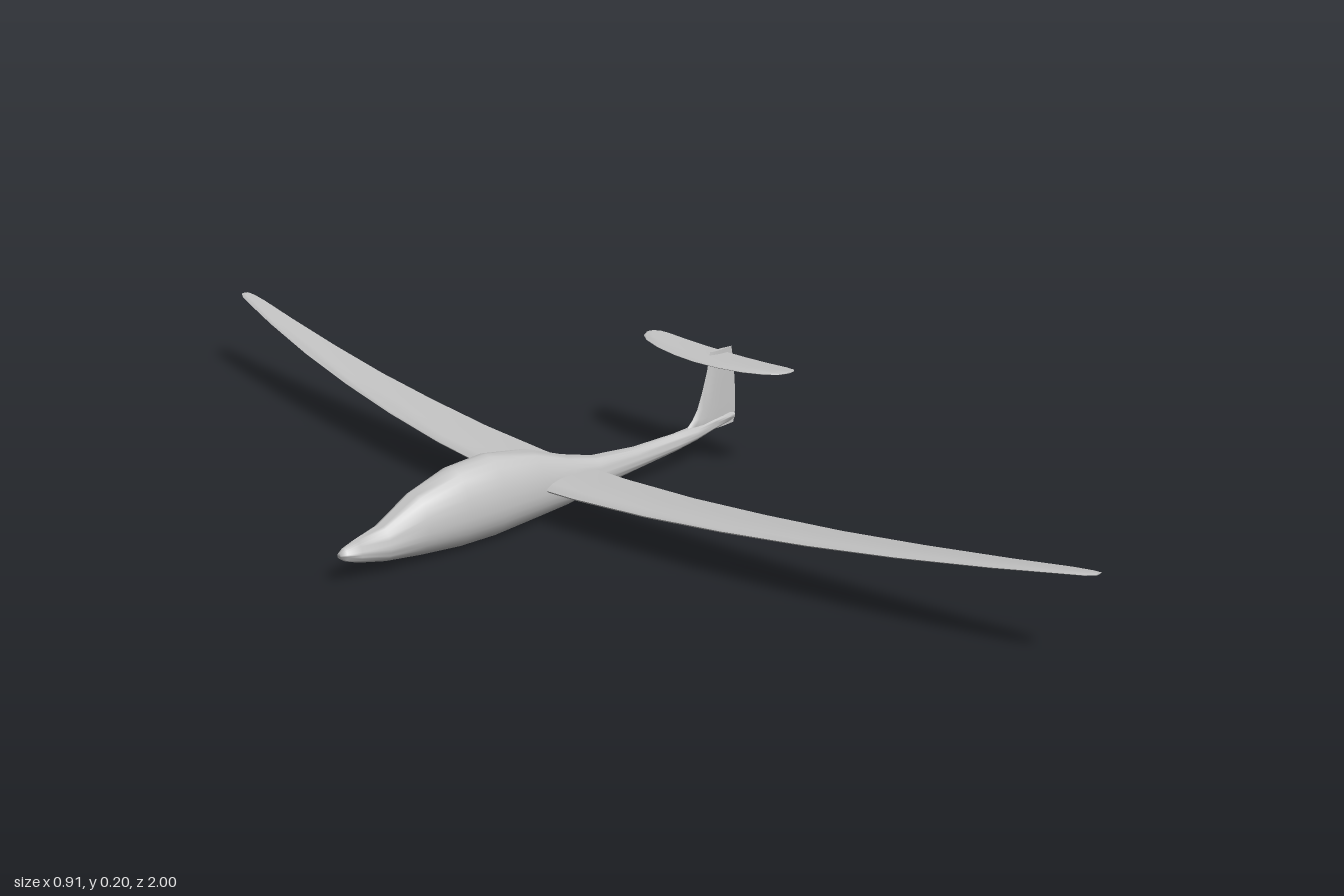
import * as THREE from 'three';
import { toCreasedNormals } from 'three/addons/utils/BufferGeometryUtils.js';

// Skin a list of rings (equal point counts) and cap both ends.
function loft(rings, crease) {
  const n = rings[0].length, m = rings.length, index = [];
  const points = rings.flat();
  for (let i = 0; i < m - 1; i++) {
    for (let j = 0; j < n; j++) {
      const k = (j + 1) % n, a = i * n + j, b = i * n + k;
      index.push(a, b, a + n, b, b + n, a + n);
    }
  }
  [0, m - 1].forEach((r) => {
    const centre = new THREE.Vector3();
    rings[r].forEach((p) => centre.addScaledVector(p, 1 / n));
    points.push(centre);
    for (let j = 0; j < n; j++) {
      const a = r * n + j, b = r * n + (j + 1) % n;
      index.push(points.length - 1, ...(r ? [a, b] : [b, a]));
    }
  });
  // Turn the faces outward if the signed volume is negative.
  let volume = 0;
  for (let i = 0; i < index.length; i += 3) {
    const [a, b, c] = [0, 1, 2].map((k) => points[index[i + k]]);
    volume += a.dot(b.clone().cross(c));
  }
  if (volume < 0) index.reverse();
  const geometry = new THREE.BufferGeometry().setFromPoints(points);
  geometry.setIndex(index);
  return toCreasedNormals(geometry, crease);
}

// Airfoil outline between leading and trailing edge; place(x, offset) positions each point.
const CHORD = [0, 0.03, 0.12, 0.3, 0.55, 0.8, 1];
const THICK = [0, 0.4, 0.78, 1, 0.8, 0.38, 0.04];
function airfoil(lead, trail, thickness, place) {
  const upper = CHORD.map((c, i) => place(lead + c * (trail - lead), THICK[i] * thickness / 2));
  const lower = CHORD.map((c, i) => place(lead + c * (trail - lead), -THICK[i] * thickness / 2));
  return [...upper, ...lower.slice(1).reverse()];
}

// Mirrored horizontal surface from half-span stations [z, lead, trail, y, thickness].
function horizontalSurface(stations) {
  const mirrored = stations.slice(1).reverse().map(([z, ...rest]) => [-z, ...rest]);
  return loft([...mirrored, ...stations].map(([z, lead, trail, y, t]) =>
    airfoil(lead, trail, t, (x, o) => new THREE.Vector3(x, y + o, z))), 0.9);
}

export function createModel() {
  const glider = new THREE.Group();
  glider.name = 'glider';
  const paint = new THREE.MeshStandardMaterial({ color: 0xc4c4c4 });
  paint.name = 'light grey';
  const add = (name, geometry) => {
    const mesh = new THREE.Mesh(geometry, paint);
    mesh.name = name;
    glider.add(mesh);
  };

  // Fuselage stations: x, bottom, top, half width
  const body = [
    [-0.455, 0.045, 0.054, 0.004], [-0.445, 0.038, 0.06, 0.009], [-0.42, 0.029, 0.067, 0.015],
    [-0.37, 0.018, 0.078, 0.026], [-0.3, 0.009, 0.115, 0.038], [-0.22, 0.002, 0.138, 0.048],
    [-0.145, 0.001, 0.142, 0.051], [-0.05, 0.006, 0.127, 0.044], [0.03, 0.01, 0.098, 0.033],
    [0.1, 0.02, 0.079, 0.024], [0.2, 0.029, 0.07, 0.016], [0.3, 0.038, 0.07, 0.012],
    [0.35, 0.045, 0.073, 0.011], [0.4, 0.055, 0.077, 0.008], [0.44, 0.06, 0.078, 0.004],
    [0.454, 0.063, 0.074, 0.002],
  ];
  const sides = 28;
  add('fuselage', loft(body.map(([x, low, high, w]) => {
    const mid = low + 0.43 * (high - low);
    return Array.from({ length: sides }, (_, i) => {
      const a = i / sides * Math.PI * 2, s = Math.sin(a);
      return new THREE.Vector3(x, mid + s * (s > 0 ? high - mid : mid - low), w * Math.cos(a));
    });
  }), 1.2));

  // Swept, upturned main wing
  add('wing', horizontalSurface([
    [0, -0.052, 0.083, 0.064, 0.02], [0.1, -0.046, 0.083, 0.066, 0.019],
    [0.25, -0.032, 0.085, 0.073, 0.017], [0.4, -0.013, 0.091, 0.084, 0.015],
    [0.55, 0.012, 0.1, 0.097, 0.012], [0.7, 0.041, 0.113, 0.113, 0.01],
    [0.85, 0.076, 0.128, 0.131, 0.007], [0.95, 0.103, 0.139, 0.144, 0.005],
    [0.985, 0.114, 0.141, 0.148, 0.004], [1, 0.123, 0.138, 0.15, 0.002],
  ]));

  // Tailplane on top of the fin
  add('tailplane', horizontalSurface([
    [0, 0.347, 0.43, 0.191, 0.008], [0.05, 0.35, 0.43, 0.1915, 0.008],
    [0.1, 0.358, 0.43, 0.193, 0.007], [0.14, 0.371, 0.43, 0.195, 0.005],
    [0.16, 0.385, 0.427, 0.196, 0.004], [0.168, 0.4, 0.417, 0.197, 0.002],
  ]));

  // Upright fin: y, lead, trail, thickness
  const fin = [
    [0.056, 0.39, 0.452, 0.007], [0.07, 0.33, 0.455, 0.012], [0.083, 0.345, 0.455, 0.012],
    [0.1, 0.357, 0.455, 0.011], [0.13, 0.369, 0.453, 0.01], [0.165, 0.38, 0.449, 0.009],
    [0.2, 0.387, 0.442, 0.007],
  ];
  add('fin', loft(fin.map(([y, lead, trail, t]) =>
    airfoil(lead, trail, t, (x, o) => new THREE.Vector3(x, y, o))), 0.9));

  return glider;
}
